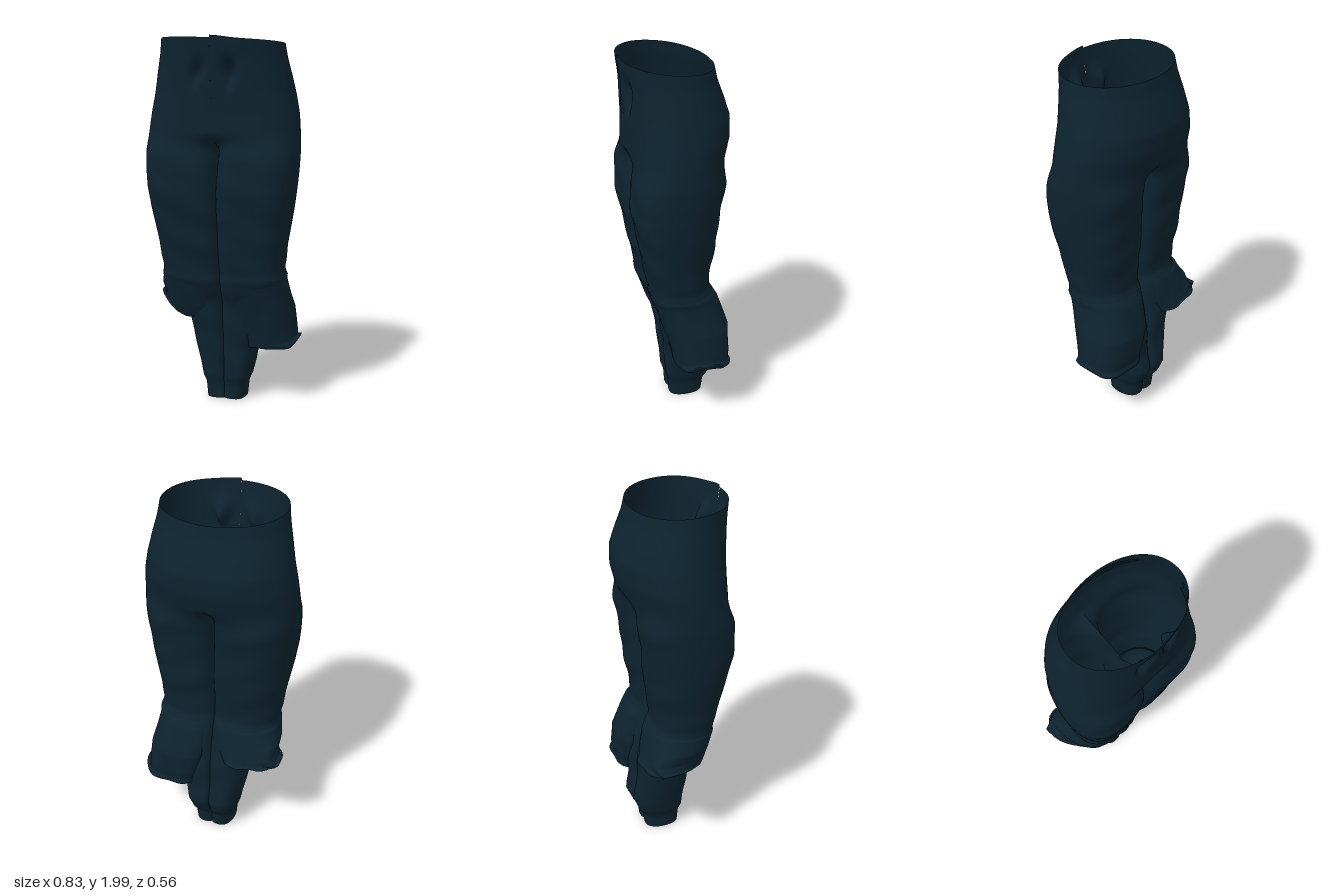
import * as THREE from 'three';

const SEG = 64;
const smooth = THREE.MathUtils.smoothstep;

// Interpolated row of a table whose first column rises
function sample(table, k) {
  let i = 0;
  while (i < table.length - 2 && k > table[i + 1][0]) i++;
  const a = table[i], b = table[i + 1];
  const t = THREE.MathUtils.clamp((k - a[0]) / (b[0] - a[0]), 0, 1);
  return a.map((v, j) => v + (b[j] - v) * t);
}

const spow = (v, p) => Math.sign(v) * Math.pow(Math.abs(v), p);
const bump = (d, w) => Math.exp(-(d * d) / (w * w));

// Closed leg section from its inner point over the front, squarer on the inner side;
// backN is the squareness of the outer back corner, zMid the depth of the widest point
function legPoint(u, inner, outer, front, back, backN, zMid) {
  const a = u * Math.PI * 2, c = Math.cos(a), s = Math.sin(a);
  const p = 2 / (c > 0 ? 3.6 : s > 0 ? 2.6 : backN);
  return [
    (inner + outer) / 2 - (outer - inner) / 2 * spow(c, p),
    zMid + (s > 0 ? front - zMid : zMid - back) * spow(s, p),
  ];
}

// Skin a grid of points, mirrored for the right side
function loft(rows, side, pointAt) {
  const pos = [], idx = [], n = SEG + 1;
  for (let j = 0; j <= rows; j++) {
    for (let i = 0; i <= SEG; i++) {
      const [x, y, z] = pointAt(j / rows, i / SEG);
      pos.push(x * side, y, z);
    }
  }
  for (let j = 0; j < rows; j++) {
    for (let i = 0; i < SEG; i++) {
      const a = j * n + i, b = a + n;
      if (side > 0) idx.push(a, b, a + 1, a + 1, b, b + 1);
      else idx.push(a, a + 1, b, a + 1, b + 1, b);
    }
  }
  const g = new THREE.BufferGeometry();
  g.setAttribute('position', new THREE.Float32BufferAttribute(pos, 3));
  g.setIndex(idx);
  g.computeVertexNormals();
  return g;
}

// Height, outer x, front z, back z
const body = [
  [0.005, 0.11, 0.03, -0.16], [0.09, 0.118, 0.035, -0.17], [0.13, 0.135, 0.05, -0.2],
  [0.2, 0.15, 0.055, -0.23], [0.3, 0.172, 0.062, -0.212], [0.4, 0.19, 0.075, -0.21],
  [0.5, 0.21, 0.09, -0.205], [0.58, 0.26, 0.105, -0.2], [0.64, 0.31, 0.14, -0.19],
  [0.68, 0.33, 0.155, -0.185], [0.71, 0.34, 0.17, -0.178], [0.74, 0.342, 0.165, -0.17],
  [0.77, 0.335, 0.17, -0.15], [0.82, 0.345, 0.18, -0.152], [0.9, 0.352, 0.2, -0.16],
  [1.0, 0.37, 0.215, -0.18], [1.1, 0.388, 0.238, -0.187], [1.2, 0.402, 0.257, -0.195],
  [1.3, 0.41, 0.258, -0.21], [1.4, 0.414, 0.254, -0.228], [1.5, 0.408, 0.248, -0.252],
  [1.6, 0.398, 0.25, -0.278], [1.7, 0.38, 0.256, -0.28], [1.8, 0.362, 0.266, -0.25],
  [1.9, 0.34, 0.275, -0.215], [1.97, 0.33, 0.283, -0.2],
];

// One half of the trousers: half of the hips, closing into a leg at the crotch
function halfPoint(side) {
  return (v, u) => {
    const y = 1.97 - v * 1.965;
    const [, w, f, b] = sample(body, y);
    const mid = (f + b) / 2;
    const inner = -0.012 * (1 - smooth(y, 1.15, 1.35));
    const leg = legPoint(u, inner, w, f, b, 2.05, mid + 0.02 * smooth(y, 0.7, 1.1));
    const t = Math.PI * (u - 0.083 * Math.sin(2 * Math.PI * u));
    const p = u > 0.5 ? 0.95 : 0.72 + 0.25 * smooth(y, 1.45, 1.9);
    const hipX = w * Math.pow(Math.abs(Math.sin(t)), p);
    const hipZ = mid + (f - b) / 2 * spow(Math.cos(t), p);
    const k = smooth(y, 1.35, 1.51);
    const x = u % 1 === 0 ? inner : leg[0] + (hipX - leg[0]) * k;
    let z = leg[1] + (hipZ - leg[1]) * k;
    // Soft folds in the cloth
    const wave = 0.003 * smooth(y, 0.1, 0.3) * (1 - k);
    z += wave * Math.sin(y * 31 + x * 14 * side) * Math.sin(u * 2 * Math.PI);
    // Pinched V-shaped folds below the waistband
    if (z > 0.1) {
      const centre = side > 0 ? 0.09 : 0.09 - 0.25 * (y - 1.76);
      const width = 0.034 * Math.max(0.4, 1 + (y - 1.8) * 6);
      z -= (side > 0 ? 0.065 : 0.045) * bump(x - centre, width) * bump(y - 1.8, 0.06);
    }
    // Slanted waist edge with a raised fly corner on the left
    let lift = 0.08 * (z - 0.06) + (side > 0 ? -0.006 : 0.014) * x / 0.33;
    if (z > 0 && side > 0) lift += 0.012 * bump(x, 0.1);
    return [x, y + lift * smooth(y, 1.6, 1.97), z];
  };
}

// Loose cuffs: fraction down, inner x, outer x, front z, back z, drop fraction
const cuffs = {
  left: [
    [0, 0.03, 0.33, 0.155, -0.145, 0], [0.08, 0.01, 0.345, 0.168, -0.178, 0.07],
    [0.16, 0.01, 0.34, 0.155, -0.2, 0.15], [0.3, 0.015, 0.352, 0.128, -0.225, 0.32],
    [0.5, 0.03, 0.372, 0.1, -0.252, 0.52], [0.75, 0.06, 0.384, 0.068, -0.25, 0.8],
    [0.86, 0.075, 0.388, 0.058, -0.242, 0.91], [0.91, 0.08, 0.412, 0.055, -0.252, 0.96],
    [0.95, 0.09, 0.38, 0.045, -0.235, 1], [1, 0.1, 0.17, 0.03, -0.16, 0.95],
  ],
  right: [
    [0, 0.03, 0.33, 0.155, -0.145, 0], [0.12, 0.01, 0.345, 0.168, -0.178, 0.12],
    [0.25, 0.01, 0.352, 0.155, -0.19, 0.28], [0.42, 0.02, 0.368, 0.135, -0.205, 0.5],
    [0.65, 0.04, 0.365, 0.112, -0.222, 0.75], [0.8, 0.06, 0.378, 0.095, -0.235, 0.9],
    [0.88, 0.07, 0.405, 0.085, -0.245, 0.97], [0.93, 0.08, 0.385, 0.075, -0.235, 1],
    [1, 0.1, 0.2, 0.05, -0.17, 0.9],
  ],
};

// Hem height, and how far the outer corner is pulled backwards
const hems = {
  left: { height: (x) => 0.315 + 0.045 * smooth(x, 0.36, 0.42), pull: 0 },
  right: {
    height: (x, z) => 0.475 + 0.5 * Math.max(0, x - 0.2)
      + 0.06 * smooth(-z, 0.05, 0.2) * (1 - smooth(x, 0.2, 0.4)),
    pull: 0.08,
  },
};

// A cuff wraps the outside of the leg; its two long edges end inside the leg
function cuffPoint(table, hem) {
  return (v, u) => {
    const [, inner, outer, f, b, drop] = sample(table, v);
    const backN = 2.1 + 0.4 * drop;
    let [x, z] = legPoint(0.1 + 0.82 * u, inner, outer, f, b, backN, (f + b) / 2);
    const y = 0.76 + (hem.height(x, z) - 0.76) * drop;
    // Gathered pleats that grow towards the hem
    z += 0.004 * v * Math.sin(x * 40 + v * 5);
    const pulled = z - hem.pull * drop * smooth(x, 0.25, 0.4);
    z = Math.min(z, Math.max(pulled, -0.255 + 0.35 * Math.max(0, x - 0.2)));
    return [x, y, z];
  };
}

export function createModel() {
  const cloth = new THREE.MeshStandardMaterial({ color: 0x0d232f, side: THREE.DoubleSide });
  cloth.name = 'dark teal cloth';
  const group = new THREE.Group();
  group.name = 'trousers';

  for (const [name, side] of [['left', 1], ['right', -1]]) {
    const half = new THREE.Mesh(loft(110, side, halfPoint(side)), cloth);
    half.name = name + 'HipAndLeg';
    const cuff = new THREE.Mesh(loft(50, side, cuffPoint(cuffs[name], hems[name])), cloth);
    cuff.name = name + 'KneeCuff';
    group.add(half, cuff);
  }
  return group;
}
